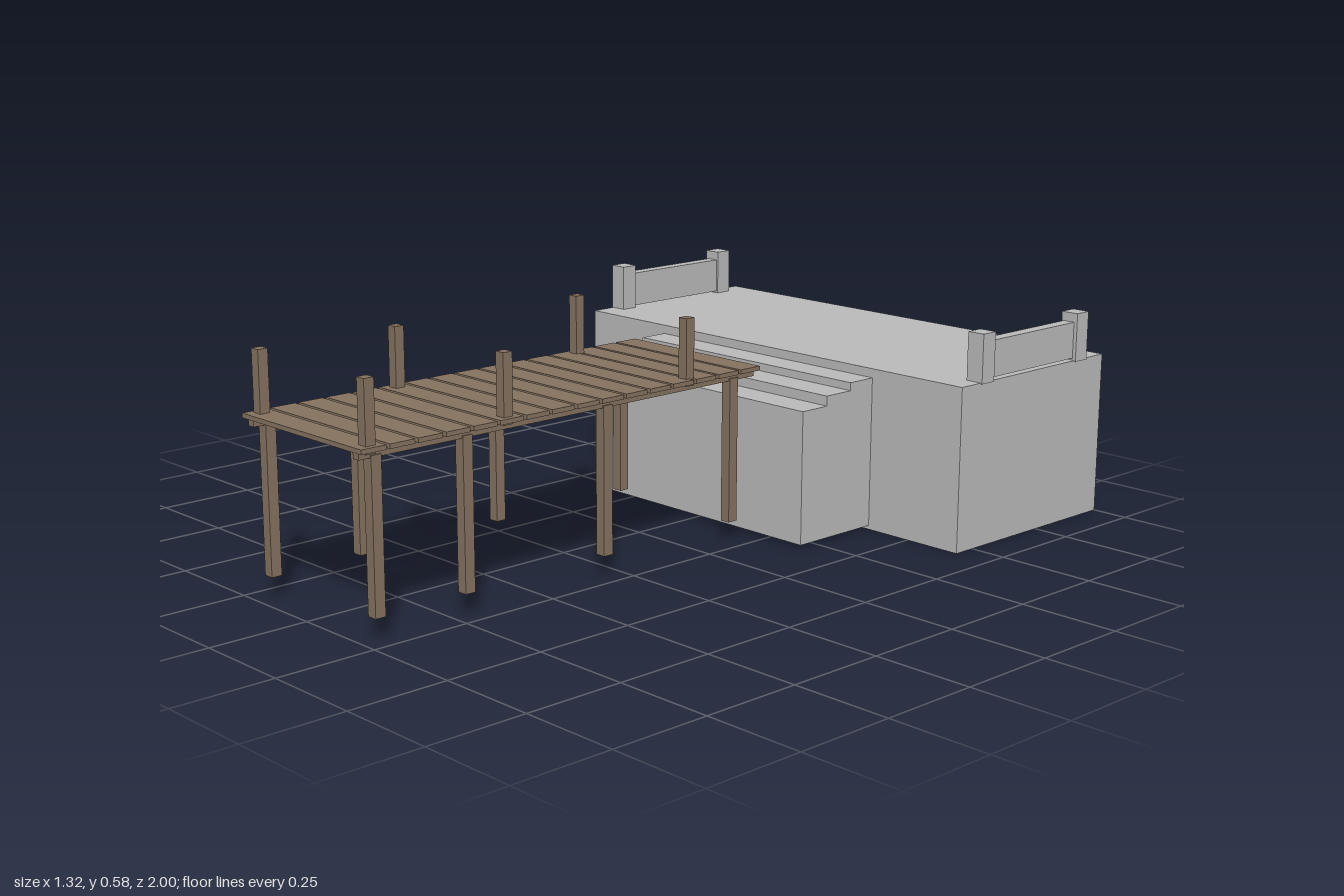
import * as THREE from 'three';

export function createModel() {
  const model = new THREE.Group();
  model.name = 'dock';
  const stone = new THREE.MeshStandardMaterial({ color: 0xb9b9b9 });
  stone.name = 'stone grey';
  const wood = new THREE.MeshStandardMaterial({ color: 0x84725f });
  wood.name = 'weathered wood';

  // Box given by its limits along each axis
  function box(parent, name, material, [x0, x1], [y0, y1], [z0, z1]) {
    const mesh = new THREE.Mesh(new THREE.BoxGeometry(x1 - x0, y1 - y0, z1 - z0), material);
    mesh.position.set((x0 + x1) / 2, (y0 + y1) / 2, (z0 + z1) / 2);
    mesh.name = name;
    parent.add(mesh);
  }
  const around = (c, size) => [c - size / 2, c + size / 2];

  // Stone quay
  const quay = new THREE.Group();
  quay.name = 'quay';
  model.add(quay);
  box(quay, 'platform', stone, [-0.655, 0.655], [0, 0.413], [-1, -0.44]);

  // Stair block: one stepped profile extruded across the width
  const profile = new THREE.Shape([
    [0.19, 0.01], [0.19, 0.345], [0.275, 0.345], [0.275, 0.37],
    [0.36, 0.37], [0.36, 0.39], [0.442, 0.39], [0.442, 0.01],
  ].map(([x, y]) => new THREE.Vector2(x, y)));
  const stairs = new THREE.Mesh(
    new THREE.ExtrudeGeometry(profile, { depth: 0.746, bevelEnabled: false }), stone);
  stairs.rotation.y = Math.PI / 2;
  stairs.position.x = -0.373;
  stairs.name = 'stairs';
  quay.add(stairs);

  // Low parapets with square end pillars
  for (const side of [-1, 1]) {
    for (const z of [-0.533, -0.905]) {
      box(quay, 'parapetPillar', stone, around(side * 0.635, 0.047), [0.41, 0.533], around(z, 0.046));
    }
    box(quay, 'parapetWall', stone, around(side * 0.633, 0.032), [0.418, 0.51], [-0.89, -0.55]);
  }

  // Wooden jetty: planks on two stringers
  const jetty = new THREE.Group();
  jetty.name = 'jetty';
  model.add(jetty);
  for (let i = 0; i < 16; i++) {
    box(jetty, 'plank', wood, [-0.224, 0.224], [0.422, 0.433], around(-0.161 + i * 0.0752, 0.066));
  }
  for (const side of [-1, 1]) {
    const x = side * 0.197;
    box(jetty, 'stringer', wood, around(x, 0.02), [0.406, 0.422], [-0.19, 0.995]);
    for (const z of [0.952, 0.706, 0.294, -0.118]) {
      box(jetty, 'leg', wood, around(x, 0.027), [0.05, 0.412], around(z, 0.027));
    }
    for (const z of [0.965, 0.59, 0.03]) {
      box(jetty, 'mooringPost', wood, around(x, 0.026), [0.415, 0.58], around(z, 0.026));
    }
  }
  return model;
}
